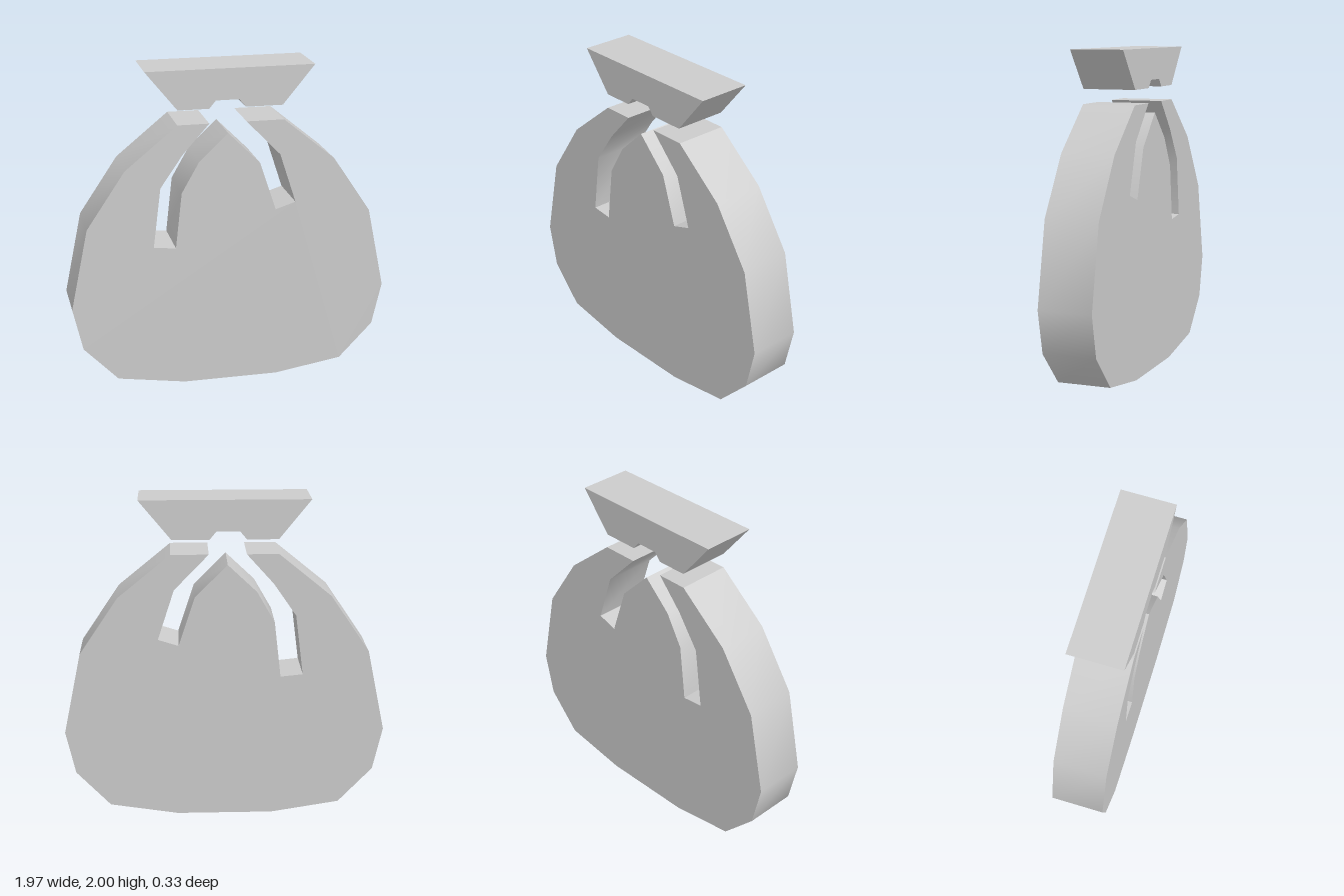
import * as THREE from 'three';
import { toCreasedNormals } from 'three/addons/utils/BufferGeometryUtils.js';

const DEPTH = 0.33;
const CREASE = 0.635; // gentle outline bends shade smoothly, sharp corners stay crisp

// Extrudes an outline into a flat slab centred on z = 0
function slab(name, outline, material) {
  const shape = new THREE.Shape(outline.map(([x, y]) => new THREE.Vector2(x, y)));
  const geometry = new THREE.ExtrudeGeometry(shape, { depth: DEPTH, bevelEnabled: false });
  geometry.translate(0, 0, -DEPTH / 2);
  const mesh = new THREE.Mesh(toCreasedNormals(geometry, CREASE), material);
  mesh.name = name;
  return mesh;
}

export function createModel() {
  const group = new THREE.Group();
  group.name = 'moneyBag';
  const material = new THREE.MeshStandardMaterial({ color: 0xcccccc });

  // Right half of the sack's silhouette, from the neck down to the base
  const side = [
    [0.325, 1.672], [0.645, 1.41], [0.88, 1.06], [0.985, 0.555],
    [0.925, 0.29], [0.715, 0.07], [0.295, 0.004],
  ];
  // Fold slots and the peak between them, from the +x side to the -x side
  const folds = [
    [0.095, 1.672], [0.305, 1.455], [0.405, 1.147], [0.28, 1.107], [0.18, 1.41],
    [-0.018, 1.608],
    [-0.195, 1.44], [-0.303, 1.25], [-0.342, 0.903], [-0.478, 0.917],
    [-0.432, 1.29], [-0.295, 1.49], [-0.132, 1.672],
  ];
  const mirrored = side.map(([x, y]) => [-x, y]);
  group.add(slab('sack', [...mirrored, ...side.slice().reverse(), ...folds], material));

  // Flared mouth above the tie, notched underneath
  group.add(slab('mouth', [
    [-0.515, 2], [-0.322, 1.762], [-0.132, 1.762], [-0.092, 1.81],
    [0.05, 1.81], [0.09, 1.762], [0.316, 1.762], [0.512, 2],
  ], material));

  return group;
}
